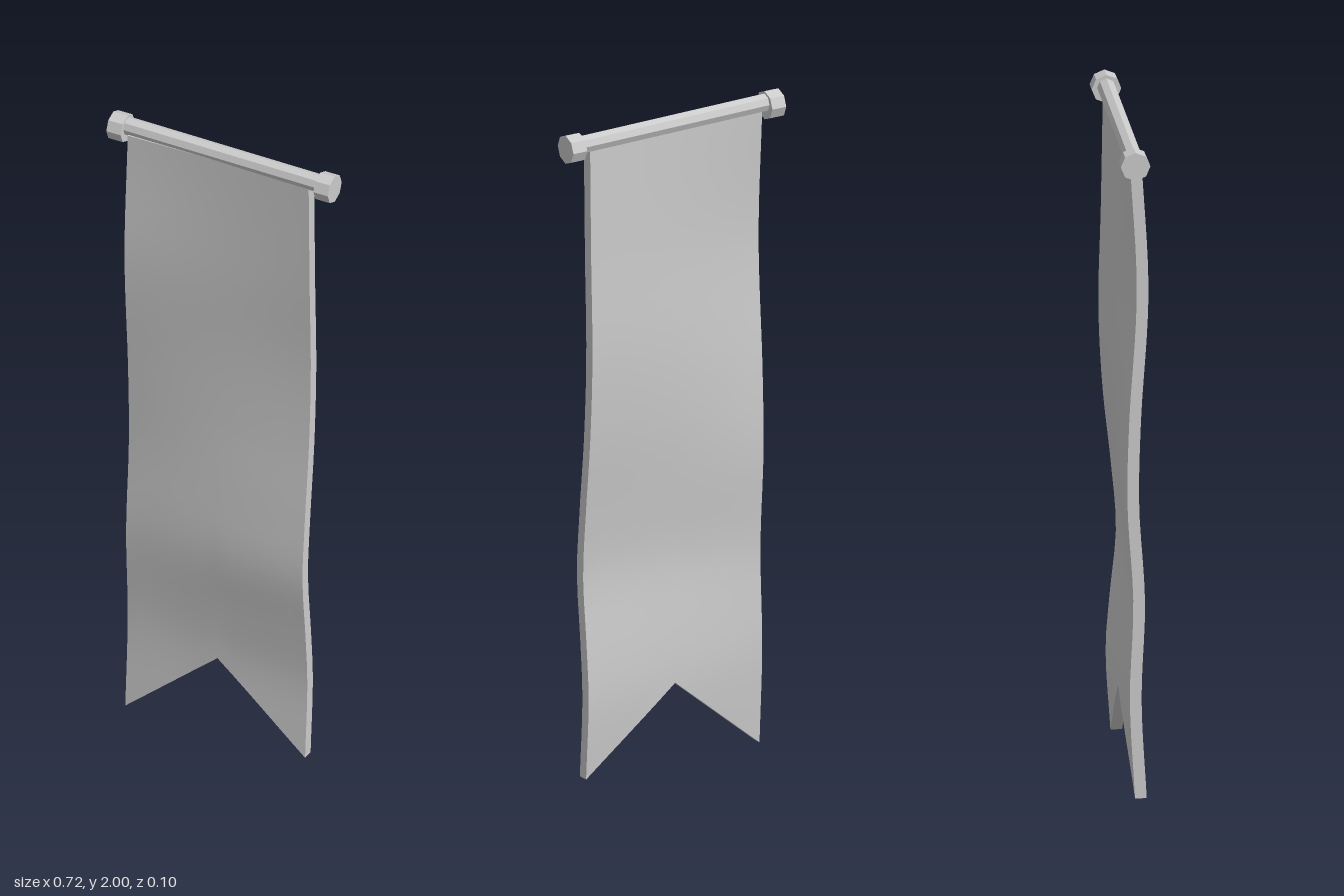
import * as THREE from 'three';

const grey = new THREE.MeshStandardMaterial({ color: 0xcccccc });
const greyFlat = new THREE.MeshStandardMaterial({ color: 0xcccccc, flatShading: true });

// Smooth depth curve from [height, depth] pairs, listed bottom to top
function depthCurve(points) {
  const samples = new THREE.CatmullRomCurve3(
    points.map(([y, z]) => new THREE.Vector3(y, z, 0))
  ).getPoints(120);
  return (y) => {
    let i = 1;
    while (i < samples.length - 1 && samples[i].x < y) i++;
    const a = samples[i - 1], b = samples[i];
    const t = THREE.MathUtils.clamp((y - a.x) / (b.x - a.x), 0, 1);
    return THREE.MathUtils.lerp(a.y, b.y, t);
  };
}

// Hanging cloth: a thin slab with a swallowtail hem and a gentle ripple
function createCloth() {
  const width = 0.587, thickness = 0.034, top = 1.95, notch = 0.245, centreX = -0.007;
  const rightEdge = depthCurve([[0, 0.015], [0.3, 0], [0.6, 0.01], [0.9, -0.007],
    [1.15, -0.002], [1.55, 0.02], [1.95, 0]]);
  const leftEdge = depthCurve([[0, 0.017], [0.25, 0.003], [0.42, 0.015], [0.62, 0.033],
    [0.82, 0.018], [1.05, -0.006], [1.3, -0.018], [1.6, -0.011], [1.95, -0.005]]);

  const geometry = new THREE.BoxGeometry(width, 1, thickness, 12, 32, 1);
  const position = geometry.attributes.position;
  for (let i = 0; i < position.count; i++) {
    const x = position.getX(i);
    const hem = notch * (1 - Math.abs(x) / (width / 2));
    const y = THREE.MathUtils.lerp(hem, top, position.getY(i) + 0.5);
    const blend = Math.sin((x / width + 0.5) * Math.PI / 2);
    const z = THREE.MathUtils.lerp(rightEdge(y), leftEdge(y), blend);
    position.setXYZ(i, x + centreX, y, position.getZ(i) + z);
  }
  geometry.computeVertexNormals();
  const cloth = new THREE.Mesh(geometry, grey);
  cloth.name = 'cloth';
  return cloth;
}

// Octagonal bar lying along x
function createBar(name, radius, length, x) {
  const geometry = new THREE.CylinderGeometry(radius, radius, length, 8);
  geometry.rotateZ(Math.PI / 2);
  const bar = new THREE.Mesh(geometry, greyFlat);
  bar.name = name;
  bar.position.x = x;
  return bar;
}

export function createModel() {
  const model = new THREE.Group();
  model.name = 'banner';
  model.add(createCloth());

  // Rod with an end cap on each side, sagging slightly to its left
  const pole = new THREE.Group();
  pole.name = 'pole';
  pole.position.set(0, 1.955, -0.008);
  const rod = createBar('rod', 0.027, 0.65, 0);
  rod.position.y = 0.007;
  rod.rotation.z = -0.013;
  pole.add(rod);
  for (const side of [-1, 1]) {
    const cap = createBar(side < 0 ? 'rightCap' : 'leftCap', 0.043, 0.047, side * 0.3375);
    cap.position.y = -side * 0.002;
    pole.add(cap);
  }
  model.add(pole);
  return model;
}
